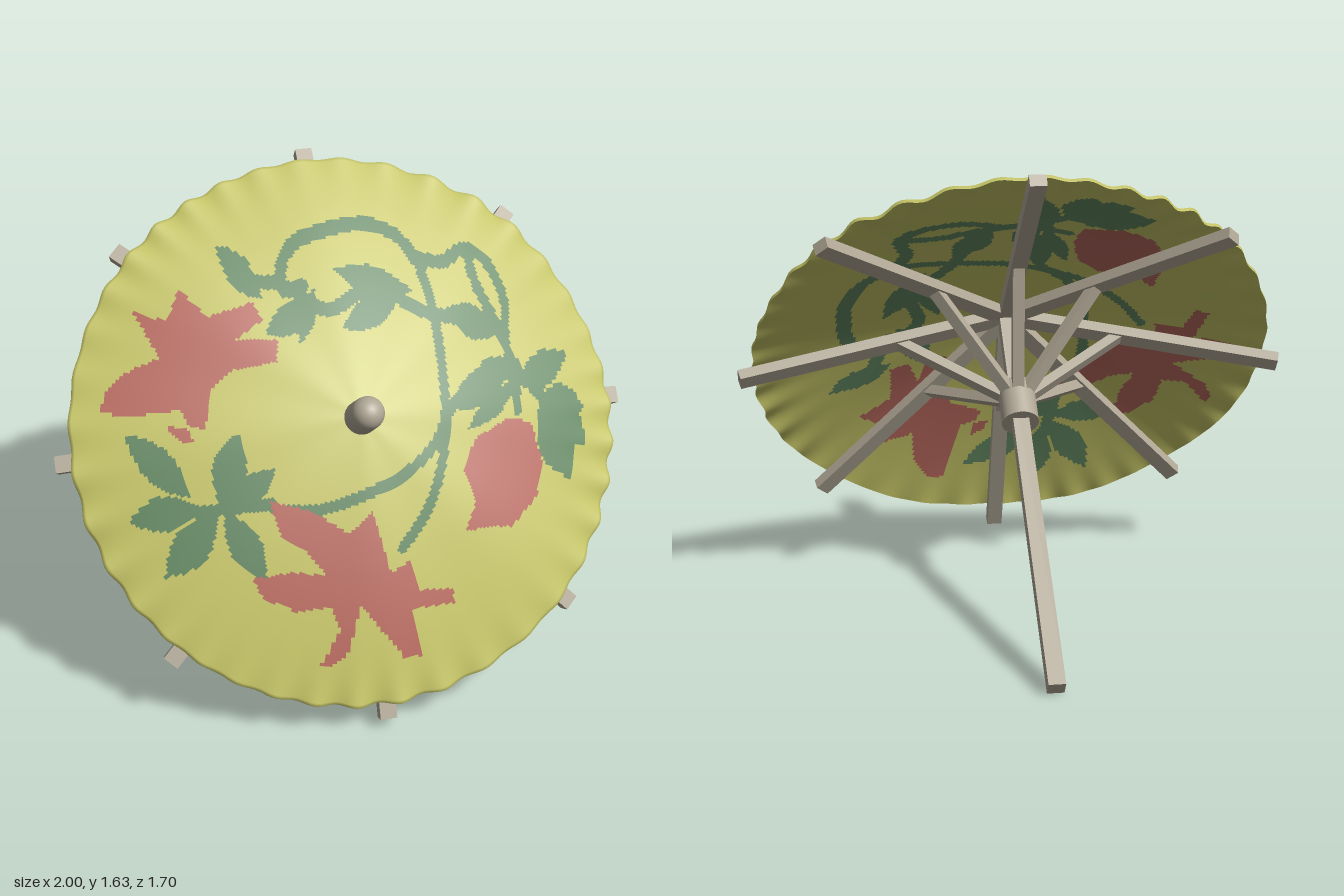
import * as THREE from 'three';

const mat = (name, color) => {
  const m = new THREE.MeshStandardMaterial({ color });
  m.name = name;
  return m;
};

// Painted pattern, drawn on a 187-per-unit sheet seen from the front
const STEMS = [
  [[217, 127], [204, 128], [207, 116], [218, 108], [238, 104], [262, 103], [284, 110], [295, 124], [298, 150], [296, 182], [290, 212], [274, 243], [255, 262]],
  [[178, 234], [205, 235], [235, 229], [262, 221], [284, 209], [300, 192], [330, 184], [352, 188]],
  [[292, 121], [312, 126], [330, 123], [344, 133], [350, 152], [345, 172], [354, 190], [370, 208]],
  [[330, 124], [332, 140], [340, 158], [347, 182], [345, 204]],
  [[180, 124], [205, 126], [228, 138], [262, 131], [290, 145], [312, 152]],
  [[112, 240], [135, 235], [178, 231]],
];
// Leaves: base x, y, tip x, y, half width
const LEAVES = [
  [168, 108, 190, 132, 8], [188, 148, 224, 133, 7], [208, 152, 224, 128, 5], [238, 121, 288, 136, 7],
  [236, 147, 280, 135, 7], [306, 147, 342, 165, 8], [94, 198, 130, 228, 10], [90, 243, 134, 232, 9],
  [108, 272, 144, 236, 10], [162, 194, 146, 234, 10], [182, 212, 150, 234, 7], [168, 274, 148, 234, 10],
  [296, 193, 346, 182, 9], [308, 206, 348, 190, 6], [346, 192, 390, 186, 9], [324, 176, 352, 188, 6],
  [360, 202, 395, 216, 10], [362, 203, 378, 250, 13], [374, 208, 392, 236, 8],
];
const FLOWERS = [
  [[82, 189], [86, 178], [100, 168], [122, 160], [110, 139], [130, 143], [140, 128], [155, 140], [184, 133], [188, 141], [170, 150], [195, 150], [192, 160], [165, 164], [150, 173], [143, 193], [134, 192], [130, 184], [105, 188]],
  [[120, 193], [132, 192], [135, 199], [127, 200]],
  [[175, 229], [202, 236], [222, 250], [238, 239], [243, 262], [246, 275], [259, 270], [263, 288], [286, 291], [286, 300], [256, 298], [263, 328], [250, 327], [232, 302], [225, 292], [215, 318], [206, 326], [197, 325], [211, 305], [206, 291], [185, 292], [165, 283], [160, 272], [185, 269], [205, 272], [195, 258], [180, 248]],
  [[312, 212], [335, 207], [353, 212], [358, 235], [351, 252], [330, 265], [315, 261], [298, 260], [307, 245], [301, 226]],
];
const stemPaths = STEMS.map((s) =>
  new THREE.CatmullRomCurve3(s.map(([x, y]) => new THREE.Vector3(x, y, 0))).getPoints(40));

function inPolygon(p, x, y) {
  let inside = false;
  for (let i = 0, j = p.length - 1; i < p.length; j = i++) {
    const [xi, yi] = p[i], [xj, yj] = p[j];
    if ((yi > y) !== (yj > y) && x < ((xj - xi) * (y - yi)) / (yj - yi) + xi) inside = !inside;
  }
  return inside;
}
function inLeaf([ax, ay, bx, by, w], x, y) {
  const dx = bx - ax, dy = by - ay, len = Math.hypot(dx, dy);
  const u = ((x - ax) * dx + (y - ay) * dy) / (len * len);
  if (u < 0 || u > 1) return false;
  return Math.abs((x - ax) * dy - (y - ay) * dx) / len < w * Math.sin(Math.PI * u);
}
// Distance to each segment of the path
const onStem = (path, x, y) => path.some((p, i) => {
  if (i === 0) return false;
  const q = path[i - 1], dx = p.x - q.x, dy = p.y - q.y;
  const u = THREE.MathUtils.clamp(((x - q.x) * dx + (y - q.y) * dy) / (dx * dx + dy * dy), 0, 1);
  return Math.hypot(q.x + u * dx - x, q.y + u * dy - y) < 3.2;
});

// Pattern index: 0 cloth, 1 leaf, 2 flower
function patternAt(x, y) {
  if (FLOWERS.some((f) => inPolygon(f, x, y))) return 2;
  if (LEAVES.some((l) => inLeaf(l, x, y)) || stemPaths.some((s) => onStem(s, x, y))) return 1;
  return 0;
}

const TILT = 0.912, CENTRE_Y = 0.87, CENTRE_Z = 0.25, CLOTH = 0.014;
const LINING_TURN = 1.41, LINING_SHIFT = 0.05;
const dome = (r) => 0.238 - 0.12 * r - 0.137 * r * r;

// Pattern colour at a point of the disc; the lining carries a mirrored, turned copy
function discPattern(x, z, lining) {
  let px = x, up = -z;
  if (lining) {
    const c = Math.cos(LINING_TURN), s = Math.sin(LINING_TURN), lx = x + LINING_SHIFT;
    px = -(lx * c + z * s);
    up = lx * s - z * c;
  }
  const height = CENTRE_Y + Math.cos(TILT) * dome(Math.hypot(px, up)) + Math.sin(TILT) * up;
  return patternAt(238 + 187 * px, 377 - 187 * height);
}

// Shallow dome with a rippled rim; each cell is assigned to a pattern colour
function canopyGeometry(lining) {
  const rings = 94, sectors = 360, pos = [], lists = [[], [], []];
  const last = lining ? rings : rings + 1; // the outer sheet also wraps the rim
  for (let i = 0; i <= last; i++) {
    const s = Math.min(i / rings, 1);
    const drop = lining || i > rings ? CLOTH : 0;
    for (let j = 0; j < sectors; j++) {
      const a = (j / sectors) * Math.PI * 2;
      const ripple = s ** 14 * (0.7 + 0.3 * Math.sin(5 * a)) * Math.sin(39 * a + 1.5 * Math.sin(3 * a));
      const r = 0.01 + s * 0.938 + 0.008 * ripple;
      const fold = 0.006 * s * Math.cos(8 * a);
      pos.push(r * Math.cos(a), dome(r) + fold + 0.011 * ripple - drop, r * Math.sin(a));
    }
  }
  for (let i = 0; i < last; i++) {
    for (let j = 0; j < sectors; j++) {
      const k = (j + 1) % sectors;
      const a = i * sectors + j, b = a + sectors, d = i * sectors + k, c = d + sectors;
      const mid = (n) => (pos[a * 3 + n] + pos[c * 3 + n]) / 2;
      const list = lists[discPattern(mid(0), mid(2), lining)];
      if (lining) list.push(a, b, d, d, b, c);
      else list.push(a, d, b, d, c, b);
    }
  }
  const g = new THREE.BufferGeometry();
  g.setAttribute('position', new THREE.Float32BufferAttribute(pos, 3));
  g.setIndex(lists.flat());
  let start = 0;
  lists.forEach((l, n) => {
    g.addGroup(start, l.length, n);
    start += l.length;
  });
  g.computeVertexNormals();
  return g;
}

export function createModel() {
  const wood = mat('wood', 0xb0a795);
  const cloth = [mat('yellow cloth', 0xc3c265), mat('leaf green', 0x618660), mat('flower red', 0xb5675c)];
  const model = new THREE.Group();
  model.name = 'parasol';
  const tilted = new THREE.Group();
  tilted.name = 'tiltedParasol';
  tilted.position.set(0, CENTRE_Y, CENTRE_Z);
  tilted.rotation.x = TILT;
  model.add(tilted);

  const add = (parent, name, geometry, material) => {
    const m = new THREE.Mesh(geometry, material);
    m.name = name;
    parent.add(m);
    return m;
  };
  // Square beam between two points of the xy plane
  const beam = (parent, name, [x1, y1], [x2, y2], thick, wide) => {
    const m = add(parent, name, new THREE.BoxGeometry(Math.hypot(x2 - x1, y2 - y1), thick, wide), wood);
    m.position.set((x1 + x2) / 2, (y1 + y2) / 2, 0);
    m.rotation.z = Math.atan2(y2 - y1, x2 - x1);
  };

  add(tilted, 'canopy', canopyGeometry(false), cloth);
  add(tilted, 'canopyLining', canopyGeometry(true), cloth);

  // Pole, sliding hub and rounded tip
  beam(tilted, 'pole', [0, -1.37], [0, 0.22], 0.058, 0.058);
  add(tilted, 'hub', new THREE.CylinderGeometry(0.067, 0.067, 0.16, 32), wood).position.y = -0.218;
  const tip = [new THREE.Vector2(0.058, 0.2)];
  for (let i = 0; i <= 10; i++) {
    const a = (i / 10) * Math.PI / 2;
    tip.push(new THREE.Vector2(0.056 * Math.cos(a), 0.332 + 0.056 * Math.sin(a)));
  }
  add(tilted, 'tip', new THREE.LatheGeometry(tip, 32), wood);

  // Eight ribs, each braced by a strut from the hub
  for (let i = 0; i < 8; i++) {
    const arm = new THREE.Group();
    arm.name = 'arm' + (i + 1);
    arm.rotation.y = (i * Math.PI) / 4;
    beam(arm, 'rib', [0.02, 0.195], [0.995, -0.058], 0.043, 0.058);
    beam(arm, 'strut', [0.04, -0.18], [0.41, 0.085], 0.036, 0.042);
    tilted.add(arm);
  }
  return model;
}
